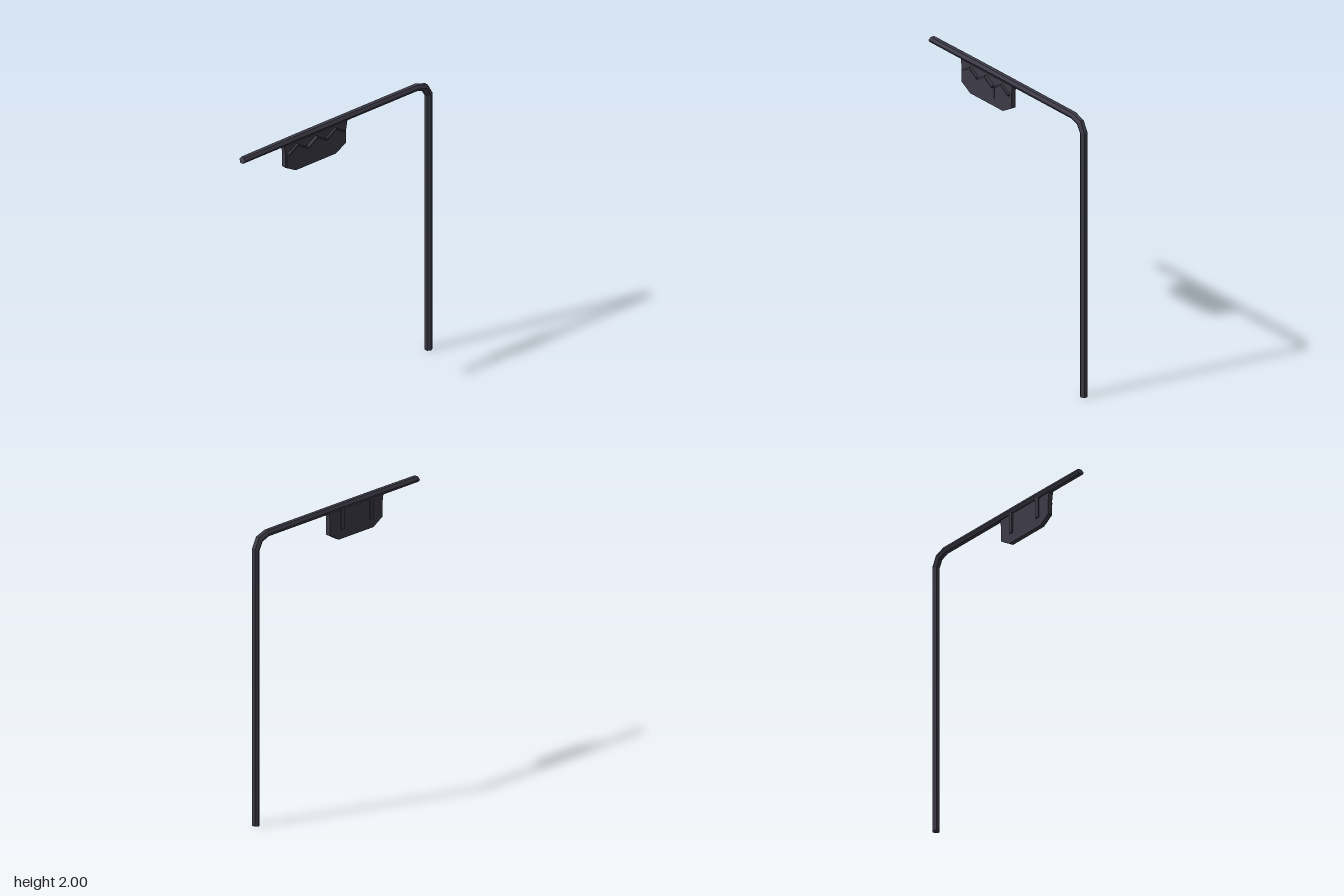
import * as THREE from 'three';

const material = new THREE.MeshStandardMaterial({ color: 0x3c3b47, flatShading: true });
const POLE_X = -0.0115;

// Hexagonal bar swept through sections given as [outer z, outer y, inner z, inner y]
function hexBar(sections, radius) {
  const rings = sections.map(([oz, oy, iz, iy]) => {
    const ring = [];
    for (let k = 0; k < 6; k++) {
      const a = (k * Math.PI) / 3;
      const s = Math.sin(a) / Math.sin(Math.PI / 3) / 2;
      ring.push([
        POLE_X + radius * Math.cos(a),
        (oy + iy) / 2 + (oy - iy) * s,
        (oz + iz) / 2 + (oz - iz) * s,
      ]);
    }
    return ring;
  });
  const pos = [];
  const tri = (a, b, c) => pos.push(...a, ...b, ...c);
  for (let i = 0; i < rings.length - 1; i++) {
    for (let k = 0; k < 6; k++) {
      const n = (k + 1) % 6;
      tri(rings[i][k], rings[i][n], rings[i + 1][n]);
      tri(rings[i][k], rings[i + 1][n], rings[i + 1][k]);
    }
  }
  const first = rings[0], last = rings[rings.length - 1];
  for (let k = 1; k < 5; k++) {
    tri(first[0], first[k + 1], first[k]);
    tri(last[0], last[k], last[k + 1]);
  }
  const geo = new THREE.BufferGeometry();
  geo.setAttribute('position', new THREE.Float32BufferAttribute(pos, 3));
  geo.computeVertexNormals();
  return geo;
}

// Outline in (z, y), extruded along x between two values
function slab(name, outline, xMin, xMax) {
  const shape = new THREE.Shape(outline.map(([z, y]) => new THREE.Vector2(z, y)));
  const geo = new THREE.ExtrudeGeometry(shape, { depth: xMax - xMin, bevelEnabled: false });
  geo.rotateY(-Math.PI / 2);
  geo.translate(xMax, 0, 0);
  const mesh = new THREE.Mesh(geo, material);
  mesh.name = name;
  return mesh;
}

export function createModel() {
  const model = new THREE.Group();
  model.name = 'trafficSignal';

  // Upright, chamfered elbow and long arm with a slanted tip
  const pole = new THREE.Mesh(hexBar([
    [-0.82, 0, -0.775, 0],
    [-0.82, 1.9, -0.775, 1.885],
    [-0.78, 1.972, -0.745, 1.936],
    [-0.695, 2, -0.685, 1.957],
    [0.32, 2, 0.32, 1.957],
    [0.805, 1.997, 0.82, 1.957],
  ], 0.0265), material);
  pole.name = 'poleAndArm';
  model.add(pole);

  // Signal housing with flared top corners and cut lower corners
  const signal = new THREE.Group();
  signal.name = 'signalHead';
  signal.add(slab('housing', [
    [0.472, 1.965], [0.462, 1.905], [0.462, 1.805], [0.372, 1.755],
    [0.026, 1.755], [-0.064, 1.805], [-0.064, 1.905], [-0.074, 1.965],
  ], -0.018, 0.014));

  // Three hexagonal lamps, each under a peaked hood
  const W = 0.083, R = W / Math.cos(Math.PI / 6), Y = 1.855;
  [0.033, 0.199, 0.365].forEach((z, i) => {
    const hex = [];
    for (let k = 0; k < 6; k++) {
      const a = Math.PI / 6 + (k * Math.PI) / 3;
      hex.push([z + (R - 0.001) * Math.cos(a), Y + (R - 0.001) * Math.sin(a)]);
    }
    signal.add(slab('lamp', hex, 0.01, 0.0155));

    const w = W - 0.004, t = 0.013;
    signal.add(slab('hood', [
      [z - w, Y + R / 2], [z - w, Y + R / 2 - t], [z, Y + R - t],
      [z + w, Y + R / 2 - t], [z + w, Y + R / 2], [z, Y + R],
    ], 0.01, i === 1 ? 0.036 : 0.03));
  });

  // Straps fixing the back of the housing to the arm
  for (const z of [0.055, 0.345]) {
    signal.add(slab('strap', [
      [z - 0.015, 1.82], [z + 0.015, 1.82], [z + 0.015, 1.97], [z - 0.015, 1.97],
    ], -0.028, -0.016));
  }
  model.add(signal);
  return model;
}
